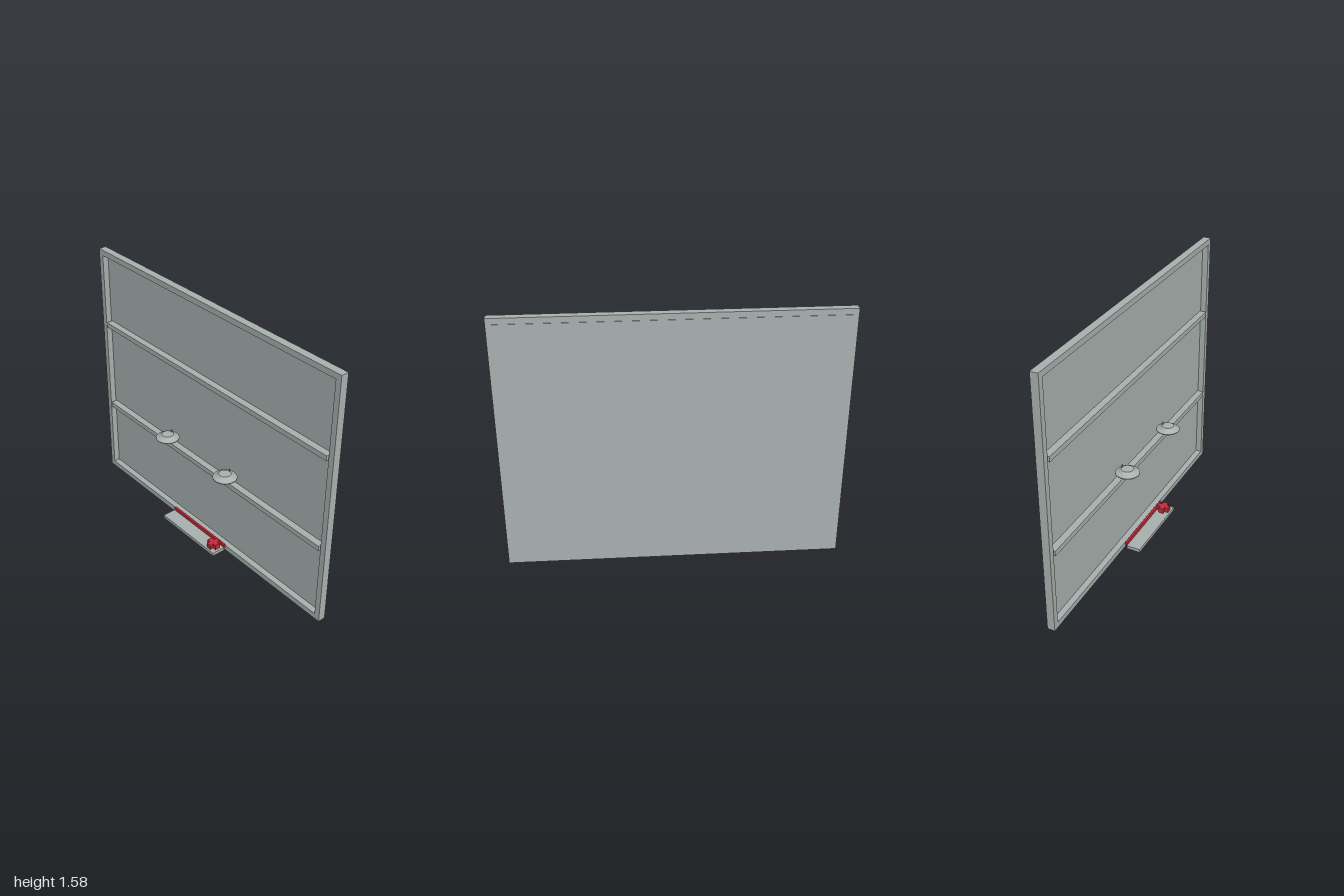
import * as THREE from 'three';

export function createModel() {
  const model = new THREE.Group();
  const grey = new THREE.MeshStandardMaterial({ color: 0xa9b2b0 });
  grey.name = 'grey';
  const red = new THREE.MeshStandardMaterial({ color: 0xc82a3c });
  red.name = 'red';

  const add = (name, geometry, material, parent = model) => {
    const mesh = new THREE.Mesh(geometry, material);
    mesh.name = name;
    parent.add(mesh);
    return mesh;
  };
  // Box given by its low and high corners
  const box = (name, material, [x0, y0, z0], [x1, y1, z1]) => {
    const mesh = add(name, new THREE.BoxGeometry(x1 - x0, y1 - y0, z1 - z0), material);
    mesh.position.set((x0 + x1) / 2, (y0 + y1) / 2, (z0 + z1) / 2);
    return mesh;
  };
  const rectangle = (Type, x, y0, y1) => new Type([
    new THREE.Vector2(-x, y0), new THREE.Vector2(x, y0),
    new THREE.Vector2(x, y1), new THREE.Vector2(-x, y1),
  ]);

  // Frame around the wall panel
  const outline = rectangle(THREE.Shape, 1, 0, 1.582);
  outline.holes.push(rectangle(THREE.Path, 0.965, 0.035, 1.547));
  const frame = add('frame', new THREE.ExtrudeGeometry(outline, { depth: 0.047, bevelEnabled: false }), grey);
  frame.position.z = -0.092;

  // Backing sheet, standing slightly proud of the frame at the rear
  box('backPanel', grey, [-0.965, 0.035, -0.095], [0.965, 1.547, -0.082]);

  // Two horizontal rails
  for (const y of [0.485, 1.07]) {
    box('rail', grey, [-0.955, y, -0.082], [0.955, y + 0.032, -0.041]);
  }

  // Pair of stepped round discs, each with a thin pin at its rear
  const profile = [
    [0, 0.615], [0.071, 0.615], [0.071, 0.62], [0.055, 0.627],
    [0.052, 0.629], [0.036, 0.642], [0, 0.642],
  ];
  // Separate bands keep the edges between them sharp
  for (const side of [-1, 1]) {
    const hook = new THREE.Group();
    hook.name = side > 0 ? 'leftHook' : 'rightHook';
    hook.position.set(side * 0.265, 0, 0.024);
    model.add(hook);
    for (let i = 0; i < profile.length - 1; i++) {
      const band = [profile[i], profile[i + 1]].map(([r, y]) => new THREE.Vector2(r, y));
      add('discBand', new THREE.LatheGeometry(band, 32), grey, hook);
    }
    const pin = add('pin', new THREE.CylinderGeometry(0.003, 0.003, 0.065, 10), grey, hook);
    pin.position.set(0, 0.628, -0.034);
  }

  // Tray with a red back strip
  box('tray', grey, [-0.24, 0.045, 0], [0.24, 0.066, 0.086]);
  box('trayStrip', red, [-0.24, 0.062, -0.013], [0.24, 0.087, 0]);

  // Red cross-shaped block on the tray
  const a = 0.0375, b = 0.0155;
  const cross = new THREE.Shape([
    [-b, -a], [b, -a], [b, -b], [a, -b], [a, b], [b, b],
    [b, a], [-b, a], [-b, b], [-a, b], [-a, -b], [-b, -b],
  ].map(([x, y]) => new THREE.Vector2(x, y)));
  const block = add('crossBlock', new THREE.ExtrudeGeometry(cross, { depth: 0.032, bevelEnabled: false }), red);
  block.rotation.x = -Math.PI / 2;
  block.position.set(0.187, 0.066, 0.038);

  return model;
}
